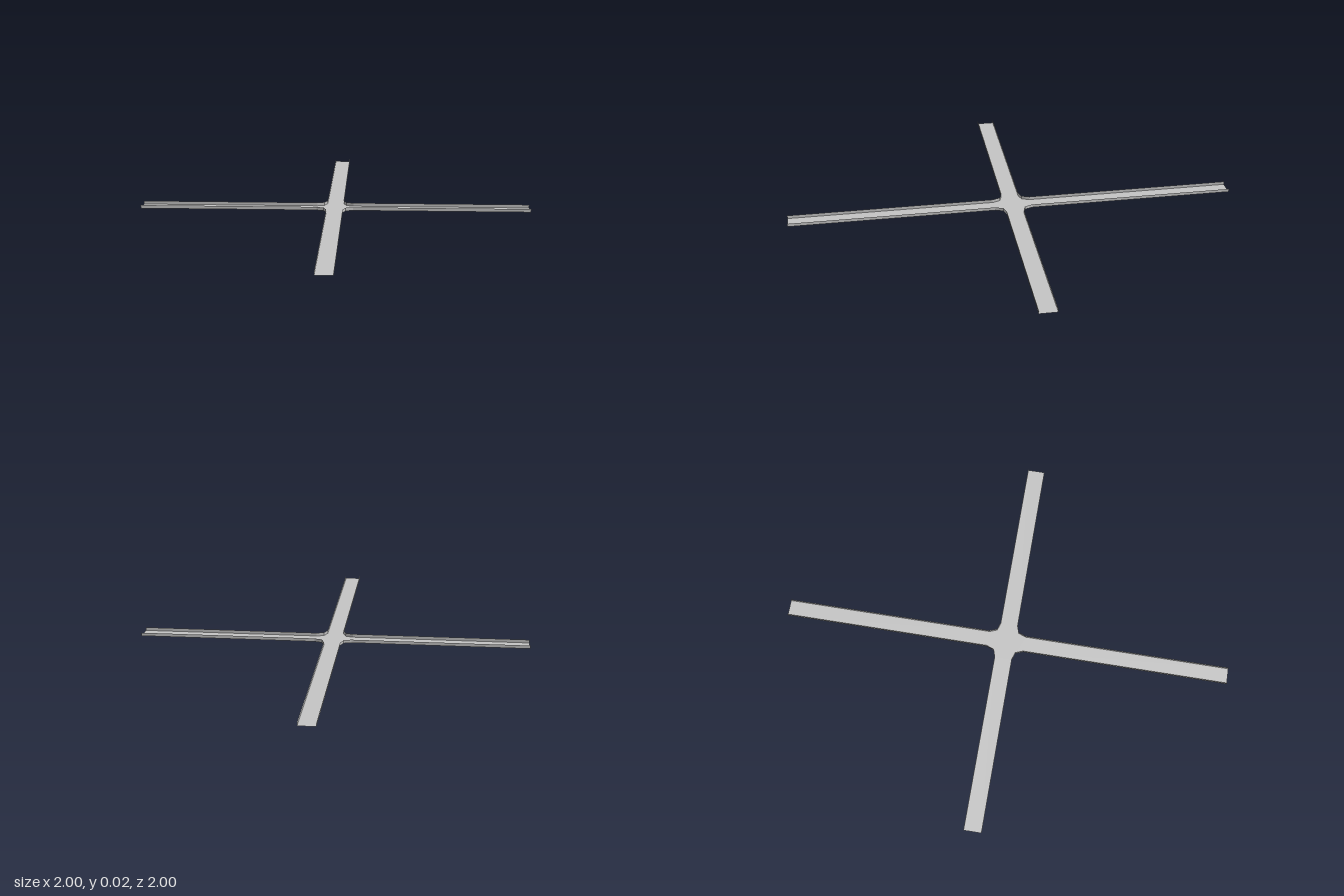
import * as THREE from 'three';

const HEIGHT = 0.02;

export function createModel() {
  const group = new THREE.Group();
  group.name = 'crossChannel';
  const sheetGrey = new THREE.MeshStandardMaterial({ color: 0xc4c4c4, side: THREE.DoubleSide });
  sheetGrey.name = 'sheet grey';

  // One edge run: arm tip, bevelled inner corner, next arm tip (x, -z)
  const backRun = [[0.805, 0.88], [0.042, 0.117], [0, 0.095], [-0.045, 0.115], [-0.93, 1]];
  // The other runs follow by mirroring over the arm diagonal and a half turn
  const leftRun = backRun.map(([x, y]) => [y, x]).reverse();
  const halfTurn = (run) => run.map(([x, y]) => [-x, -y]);
  const runs = { left: leftRun, back: backRun, right: halfTurn(leftRun), front: halfTurn(backRun) };

  // Flat cross-shaped floor
  const outline = Object.values(runs).flat().map(([x, y]) => new THREE.Vector2(x, y));
  const floor = new THREE.Mesh(
    new THREE.ShapeGeometry(new THREE.Shape(outline)).rotateX(-Math.PI / 2), sheetGrey);
  floor.name = 'channelFloor';
  group.add(floor);

  // Thin upright walls along each run; the arm tips stay open
  for (const [side, run] of Object.entries(runs)) {
    const positions = [];
    for (let i = 0; i < run.length - 1; i++) {
      const [ax, ay] = run[i];
      const [bx, by] = run[i + 1];
      const a = [ax, 0, -ay], b = [bx, 0, -by];
      const c = [bx, HEIGHT, -by], d = [ax, HEIGHT, -ay];
      positions.push(...a, ...b, ...c, ...a, ...c, ...d);
    }
    const geometry = new THREE.BufferGeometry();
    geometry.setAttribute('position', new THREE.Float32BufferAttribute(positions, 3));
    geometry.computeVertexNormals();
    const wall = new THREE.Mesh(geometry, sheetGrey);
    wall.name = side + 'Wall';
    group.add(wall);
  }
  return group;
}
